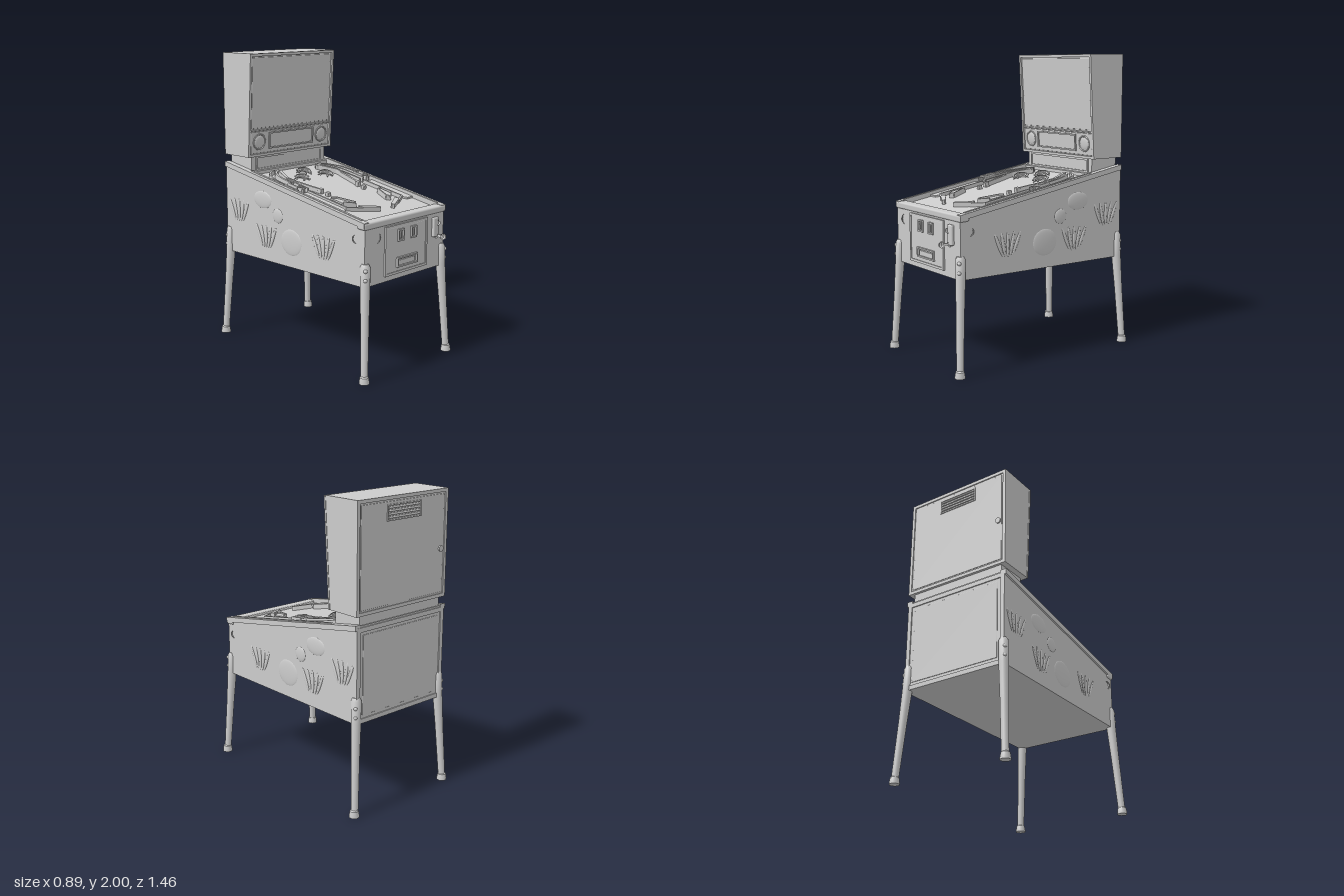
import * as THREE from 'three';
import { toCreasedNormals } from 'three/addons/utils/BufferGeometryUtils.js';
import { RoundedBoxGeometry } from 'three/addons/geometries/RoundedBoxGeometry.js';

const grey = new THREE.MeshStandardMaterial({ color: 0xcccccc });
const SLOPE = Math.atan(0.23 / 1.325);
const topY = z => 1.02 + (0.645 - z) * 0.1736; // height of the sloping cabinet edge

function add(parent, name, geometry, x = 0, y = 0, z = 0) {
  const mesh = new THREE.Mesh(geometry, grey);
  mesh.name = name;
  mesh.position.set(x, y, z);
  parent.add(mesh);
  return mesh;
}

function subgroup(parent, name) {
  const g = new THREE.Group();
  g.name = name;
  parent.add(g);
  return g;
}

const box = (w, h, d, r = 0.004) => new RoundedBoxGeometry(w, h, d, 2, Math.min(r, w / 3, h / 3, d / 3));

// side profile of [z, y] points, extruded across x
function prism(points, x0, x1) {
  const shape = new THREE.Shape(points.map(p => new THREE.Vector2(...p)));
  const g = new THREE.ExtrudeGeometry(shape, { depth: x1 - x0, bevelEnabled: false });
  return g.rotateY(-Math.PI / 2).translate(x1, 0, 0);
}

// flat frame in the xy plane
function frame(w, h, t, depth) {
  const rect = (C, a, b) => new C([[-a, -b], [a, -b], [a, b], [-a, b]].map(p => new THREE.Vector2(...p)));
  const shape = rect(THREE.Shape, w / 2, h / 2);
  shape.holes.push(rect(THREE.Path, w / 2 - t, h / 2 - t));
  return new THREE.ExtrudeGeometry(shape, { depth, bevelEnabled: false });
}

// solid outline of [x, z] points, raised by a height
function slab(points, height) {
  const shape = new THREE.Shape(points.map(([x, z]) => new THREE.Vector2(x, -z)));
  return new THREE.ExtrudeGeometry(shape, { depth: height, bevelEnabled: false }).rotateX(-Math.PI / 2);
}

// upright wall of constant width along [x, z] points
function wall(points, width, height, smooth = false) {
  let p = points.map(q => new THREE.Vector2(...q));
  if (smooth) p = new THREE.SplineCurve(p).getPoints(24);
  const side = k => p.map((q, i) => {
    const t = p[Math.min(i + 1, p.length - 1)].clone().sub(p[Math.max(i - 1, 0)]).normalize();
    return [q.x - t.y * k * width / 2, q.y + t.x * k * width / 2];
  });
  return slab([...side(1), ...side(-1).reverse()], height);
}

// turned part from [radius, height] points
const turned = (points, sides = 24) =>
  toCreasedNormals(new THREE.LatheGeometry(points.map(p => new THREE.Vector2(...p)), sides), 0.6);

function buildCabinet(root) {
  const g = subgroup(root, 'cabinet');
  add(g, 'cabinetBody', prism([[-0.675, 0.61], [0.64, 0.61], [0.64, topY(0.64) - 0.03],
    [-0.43, topY(-0.43) - 0.03], [-0.43, topY(-0.43) - 0.008], [-0.675, topY(-0.675) - 0.008]], -0.385, 0.385));
  for (const s of [-1, 1]) {
    const a = s * 0.355, b = s * 0.397, c = s * 0.372;
    add(g, 'sideRail', prism([[0.645, topY(0.645) - 0.035], [0.645, topY(0.645)], [-0.68, topY(-0.68)],
      [-0.68, topY(-0.68) - 0.035]], Math.min(a, b), Math.max(a, b)));
    add(g, 'innerRailLip', prism([[0.6, topY(0.6) - 0.035], [0.6, topY(0.6) + 0.004], [-0.43, topY(-0.43) + 0.004],
      [-0.43, topY(-0.43) - 0.035]], Math.min(a, c), Math.max(a, c)));
    // flipper button
    const button = add(g, 'flipperButton', turned([[0, 0.018], [0.016, 0.018], [0.018, 0.012], [0.026, 0.01], [0.028, 0]]), s * 0.384, 0.91, 0.57);
    button.rotation.z = -s * Math.PI / 2;
    // shallow side relief: rounded shapes and fans of leaves
    for (const [z, y, rz, ry] of [[-0.02, 0.78, 0.1, 0.09], [-0.3, 1.03, 0.09, 0.06], [-0.15, 0.94, 0.05, 0.05]])
      add(g, 'sideRelief', new THREE.SphereGeometry(1, 24, 12).scale(0.01, ry, rz), s * 0.383, y, z);
    for (const [z, y] of [[0.28, 0.8], [-0.27, 0.78], [-0.55, 0.92]]) for (let i = -2; i <= 2; i++) {
      const leaf = add(g, 'sideLeafRelief', new THREE.SphereGeometry(1, 10, 8).scale(0.008, 0.085, 0.013), s * 0.383, y, z + i * 0.035);
      leaf.rotation.x = i * 0.2;
    }
  }
  const bar = add(g, 'lockBar', box(0.794, 0.045, 0.07, 0.012), 0, 0.998, 0.614);
  bar.rotation.x = 0.06;
  add(g, 'rearPanelFrame', frame(0.77, 0.62, 0.03, 0.008), 0, 0.92, -0.682);
  add(g, 'rearPanel', box(0.66, 0.52, 0.008), 0, 0.92, -0.674);
}

function buildFront(root) {
  const g = subgroup(root, 'frontFittings');
  add(g, 'coinDoor', box(0.38, 0.29, 0.014), 0, 0.805, 0.642);
  add(g, 'coinDoorFrame', frame(0.41, 0.32, 0.016, 0.012), 0, 0.805, 0.64);
  for (const s of [-1, 1]) {
    add(g, 'coinSlotFrame', frame(0.055, 0.078, 0.01, 0.014), s * 0.062, 0.895, 0.647);
    add(g, 'coinSlot', box(0.012, 0.04, 0.012), s * 0.062, 0.895, 0.652);
  }
  add(g, 'coinReturnFrame', frame(0.2, 0.065, 0.01, 0.016), 0, 0.72, 0.647);
  add(g, 'coinReturnFlap', box(0.16, 0.035, 0.01), 0, 0.715, 0.65);
  const start = add(g, 'startButton', turned([[0, 0.022], [0.02, 0.02], [0.024, 0.012], [0.034, 0.008], [0.037, 0]]), -0.28, 0.91, 0.638);
  start.rotation.x = Math.PI / 2;
  // plunger with its plate and small button
  add(g, 'plungerPlate', box(0.055, 0.13, 0.025, 0.01), 0.29, 0.885, 0.648);
  const button = add(g, 'launchButton', turned([[0, 0.025], [0.014, 0.022], [0.02, 0]]), 0.29, 0.915, 0.658);
  button.rotation.x = Math.PI / 2;
  const plunger = add(g, 'plunger', turned([[0, 0.09], [0.014, 0.088], [0.021, 0.076], [0.019, 0.064],
    [0.01, 0.058], [0.009, 0.02], [0.02, 0.018], [0.022, 0]]), 0.29, 0.83, 0.642);
  plunger.rotation.x = Math.PI / 2;
}

function buildLegs(root) {
  for (const sx of [-1, 1]) for (const sz of [-1, 1]) {
    const g = subgroup(root, sz > 0 ? 'frontLeg' : 'rearLeg');
    const top = sz > 0 ? 0.76 : 0.785;
    // tapered post leaning outwards from the corner
    const post = turned([[0, 0], [0.023, 0], [0.027, 0.4], [0.032, 0.62], [0.032, top - 0.02], [0.022, top], [0, top]], 16);
    const p = post.attributes.position;
    for (let i = 0; i < p.count; i++) {
      const k = 1 - Math.min(p.getY(i) / 0.68, 1);
      p.setX(i, p.getX(i) + sx * (0.369 + 0.041 * k));
      p.setZ(i, p.getZ(i) + sz * ((sz > 0 ? 0.63 : 0.662) + 0.036 * k));
    }
    add(g, 'legPost', toCreasedNormals(post, 0.6));
    add(g, 'foot', turned([[0, 0], [0.033, 0], [0.033, 0.012], [0.028, 0.042], [0.02, 0.05]], 20), sx * 0.41, 0, sz * (sz > 0 ? 0.666 : 0.696));
    for (const y of [0.66, 0.72])
      add(g, 'legBolt', new THREE.SphereGeometry(0.013, 12, 8), sx * 0.39, y, sz * (sz > 0 ? 0.652 : 0.68));
  }
}

function buildPlayfield(root) {
  const g = subgroup(root, 'playfield');
  g.position.y = topY(0) - 0.03;
  g.rotation.x = SLOPE;
  for (const s of [-1, 1]) {
    const m = pts => pts.map(([x, z]) => [x * s, z]);
    // curved lanes at the top
    add(g, 'outerLane', wall(m([[0.34, 0], [0.338, -0.18], [0.32, -0.28], [0.27, -0.36], [0.2, -0.395]]), 0.012, 0.03, true));
    add(g, 'middleLane', wall(m([[0.285, 0], [0.285, -0.17], [0.27, -0.27], [0.23, -0.34], [0.18, -0.375]]), 0.014, 0.035, true));
    add(g, 'innerLane', wall(m([[0.25, 0], [0.25, -0.16], [0.235, -0.25], [0.2, -0.32], [0.17, -0.35]]), 0.012, 0.03, true));
    add(g, 'laneGuide', slab(m([[0.165, -0.36], [0.19, -0.36], [0.245, -0.24], [0.245, -0.19], [0.225, -0.15], [0.23, -0.22]]), 0.035));
    add(g, 'laneRail', wall(m([[0.23, -0.17], [0.18, 0.06]]), 0.018, 0.03));
    add(g, 'railPost', box(0.032, 0.035, 0.032), s * 0.18, 0.016, 0.05);
    add(g, 'post', box(0.028, 0.03, 0.028), s * 0.172, 0.012, 0.112);
    // lane gate
    for (const z of [-0.1, -0.02]) add(g, 'gateBar', box(0.055, 0.014, 0.014), s * 0.312, 0.043, z);
    for (const x of [0.29, 0.335]) add(g, 'gateSide', box(0.012, 0.05, 0.095), s * x, 0.024, -0.06);
    // lower side ledge, return lane, slingshot and flipper
    add(g, 'sideLedge', slab(m([[0.358, 0.02], [0.275, 0.02], [0.275, 0.36], [0.3, 0.4], [0.358, 0.4]]), 0.012));
    add(g, 'returnLane', wall(m([[0.268, 0.02], [0.268, 0.375], [0.17, 0.43]]), 0.014, 0.025));
    add(g, 'slingshot', slab(m([[0.24, 0.2], [0.205, 0.21], [0.145, 0.345], [0.165, 0.365], [0.235, 0.3]]), 0.024));
    add(g, 'slingshotBand', wall(m([[0.235, 0.2], [0.2, 0.22], [0.15, 0.34], [0.17, 0.36], [0.23, 0.31]]), 0.01, 0.034));
    add(g, 'flipper', slab(m([[0.175, 0.39], [0.19, 0.41], [0.17, 0.432], [0.068, 0.488], [0.056, 0.476], [0.062, 0.462]]), 0.03));
  }
  // pop bumpers with six studs each
  for (const [x, z] of [[0, -0.305], [-0.112, -0.203], [0.112, -0.203]]) {
    add(g, 'popBumper', turned([[0, 0.046], [0.03, 0.043], [0.046, 0.034], [0.046, 0.026], [0.034, 0.022], [0.036, 0.01], [0.052, 0.007], [0.052, -0.004]], 28), x, 0, z);
    for (let i = 0; i < 6; i++) {
      const a = i * Math.PI / 3;
      add(g, 'bumperStud', new THREE.SphereGeometry(0.008, 8, 6), x + 0.051 * Math.cos(a), 0.022, z + 0.051 * Math.sin(a));
    }
  }
  add(g, 'apronEdge', box(0.7, 0.02, 0.012), 0, 0.006, 0.588);
}

function buildBackbox(root) {
  const g = subgroup(root, 'backbox');
  add(g, 'neck', prism([[-0.665, 1.2], [-0.45, 1.14], [-0.45, 1.31], [-0.665, 1.31]], -0.35, 0.35));
  add(g, 'neckFrame', frame(0.63, 0.095, 0.012, 0.01), 0, 1.25, -0.452);
  add(g, 'backboxBody', prism([[-0.675, 1.3], [-0.442, 1.3], [-0.402, 2], [-0.675, 2]], -0.39, 0.39));
  // tilted front
  const f = subgroup(g, 'backboxFront');
  f.position.set(0, 1.3, -0.443);
  f.rotation.x = Math.atan(0.04 / 0.7);
  add(f, 'frontFrame', frame(0.786, 0.7, 0.018, 0.013), 0, 0.35, 0);
  add(f, 'backglass', box(0.735, 0.48, 0.01), 0, 0.435, 0.001);
  add(f, 'backglassTrim', box(0.75, 0.012, 0.014), 0, 0.18, 0.004);
  add(f, 'speakerPanel', box(0.74, 0.15, 0.014), 0, 0.097, 0.001);
  add(f, 'displayFrame', frame(0.42, 0.115, 0.01, 0.012), 0, 0.103, 0.005);
  for (const s of [-1, 1]) {
    add(f, 'speakerRing', new THREE.TorusGeometry(0.052, 0.005, 8, 32), s * 0.293, 0.1, 0.008);
    add(f, 'speakerCone', new THREE.SphereGeometry(1, 24, 12).scale(0.042, 0.042, 0.008), s * 0.293, 0.1, 0.006);
  }
  // rear door, vent and lock
  add(g, 'rearFrame', frame(0.78, 0.7, 0.022, 0.008), 0, 1.65, -0.682);
  add(g, 'rearDoor', box(0.715, 0.635, 0.008), 0, 1.65, -0.674);
  add(g, 'ventFrame', frame(0.29, 0.1, 0.008, 0.008), 0, 1.9, -0.684);
  for (let i = 0; i < 4; i++) {
    const slat = add(g, 'ventSlat', box(0.27, 0.012, 0.009), 0, 1.87 + i * 0.02, -0.68);
    slat.rotation.x = 0.4;
  }
  add(g, 'rearLock', new THREE.CylinderGeometry(0.018, 0.02, 0.014, 20).rotateX(Math.PI / 2), -0.335, 1.62, -0.682);
}

export function createModel() {
  const root = new THREE.Group();
  root.name = 'pinballMachine';
  buildCabinet(root);
  buildFront(root);
  buildLegs(root);
  buildPlayfield(root);
  buildBackbox(root);
  return root;
}
